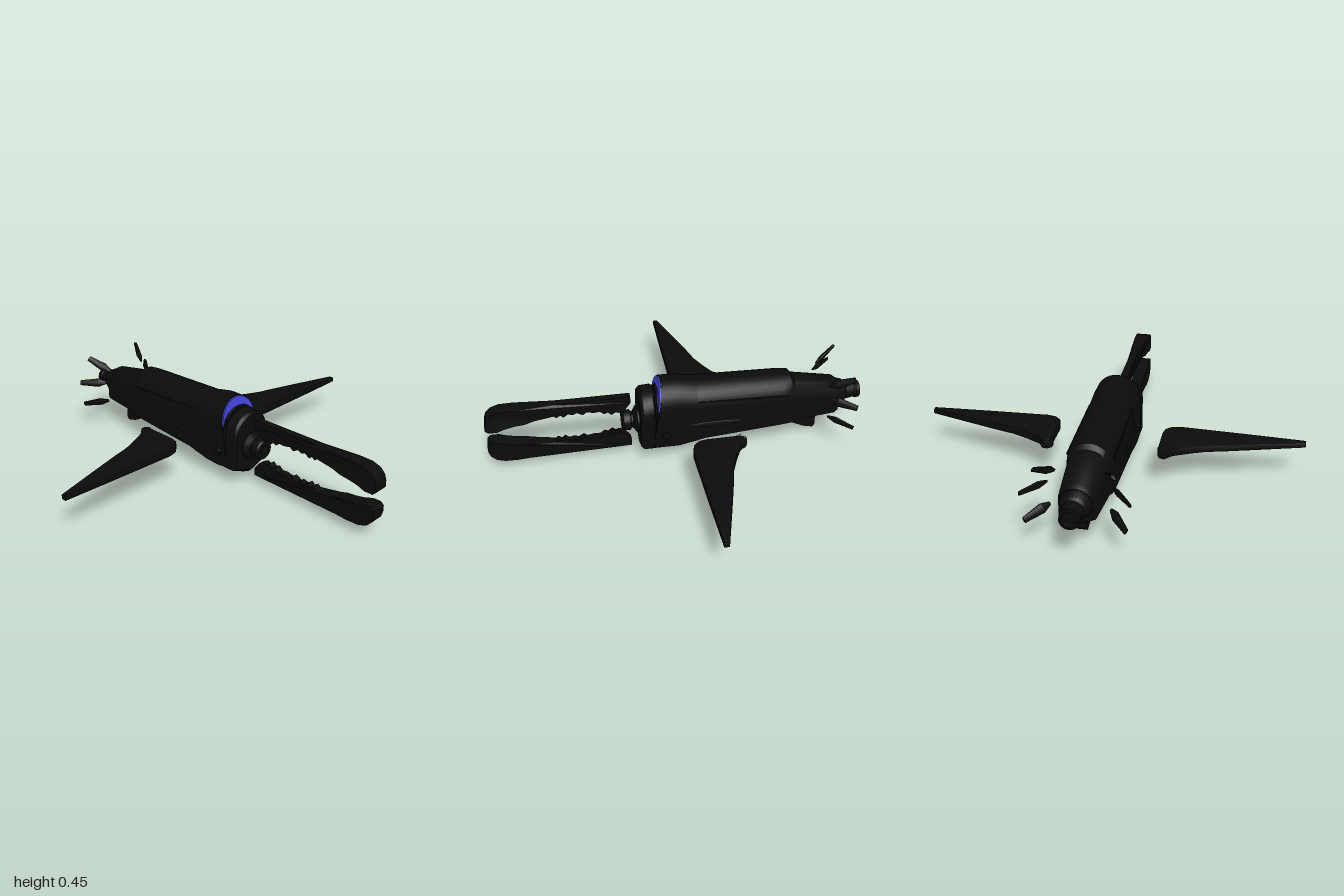
import * as THREE from 'three';
import { toCreasedNormals } from 'three/addons/utils/BufferGeometryUtils.js';

const dark = new THREE.MeshStandardMaterial({ color: 0x0b0b0b });
const blue = new THREE.MeshStandardMaterial({ color: 0x4444dd });

function part(parent, name, geometry, material = dark) {
  const mesh = new THREE.Mesh(toCreasedNormals(geometry, 0.6), material);
  mesh.name = name;
  parent.add(mesh);
  return mesh;
}

// Hull cross-section: arched top, straight sides, V-shaped belly
function hullRing([z, w, bottom, chine, shoulder, top, lean = 0]) {
  const pts = [];
  for (let i = 0; i <= 16; i++) {
    const a = (i / 16) * Math.PI;
    pts.push([w * Math.cos(a), shoulder + (top - shoulder) * Math.sin(a)]);
  }
  pts.push([-w, chine], [-w * 0.3, bottom + (chine - bottom) * 0.25], [0, bottom],
    [w * 0.3, bottom + (chine - bottom) * 0.25], [w, chine]);
  return pts.map(([x, y]) => [x, y, z - lean * (y - shoulder)]);
}

// Skin a closed body through sections listed from front to back
function loft(sections) {
  const rings = sections.map(hullRing);
  const n = rings[0].length;
  const pos = [];
  const tri = (...p) => p.forEach((q) => pos.push(...q));
  const middle = (r) => [0, 1, 2].map((k) => r.reduce((s, p) => s + p[k], 0) / n);
  const first = rings[0], last = rings[rings.length - 1];
  for (let i = 0; i < n; i++) {
    const j = (i + 1) % n;
    for (let s = 0; s < rings.length - 1; s++) {
      const f = rings[s], b = rings[s + 1];
      tri(b[i], b[j], f[i]);
      tri(f[i], b[j], f[j]);
    }
    tri(middle(first), first[i], first[j]);
    tri(middle(last), last[j], last[i]);
  }
  const g = new THREE.BufferGeometry();
  g.setAttribute('position', new THREE.Float32BufferAttribute(pos, 3));
  return g;
}

// Turned part along z; profile is [radius, z] from back to front
function turned(profile, y) {
  return new THREE.LatheGeometry(profile.map(([r, z]) => new THREE.Vector2(r, z)), 24)
    .rotateX(Math.PI / 2).translate(0, y, 0);
}

const outline = (pts) => new THREE.Shape(pts.map(([x, y]) => new THREE.Vector2(x, y)));

// Side outline in (z, y), with half-width given as a function of z
function sidePlate(pts, halfWidth) {
  const g = new THREE.ExtrudeGeometry(outline(pts), { depth: 2, bevelEnabled: false })
    .translate(0, 0, -1).rotateY(-Math.PI / 2);
  const p = g.attributes.position;
  for (let i = 0; i < p.count; i++) p.setX(i, p.getX(i) * halfWidth(p.getZ(i)));
  return g;
}

export function createModel() {
  const model = new THREE.Group();

  // Main hull, face block and raised hood: z, half-width, bottom, chine, shoulder, top, lean
  part(model, 'hull', loft([
    [0.12, 0.112, 0.06, 0.10, 0.30, 0.40],
    [0.00, 0.118, 0.01, 0.10, 0.32, 0.435],
    [-0.13, 0.12, 0.09, 0.13, 0.32, 0.435],
    [-0.55, 0.115, 0.12, 0.16, 0.31, 0.425],
    [-0.60, 0.108, 0.12, 0.16, 0.31, 0.42],
    [-0.62, 0.102, 0.125, 0.17, 0.30, 0.395],
    [-0.85, 0.085, 0.15, 0.18, 0.27, 0.355],
    [-0.87, 0.075, 0.155, 0.19, 0.27, 0.34],
  ]));
  part(model, 'faceBlock', loft([
    [0.21, 0.11, 0.07, 0.11, 0.28, 0.385],
    [0.195, 0.12, 0.055, 0.10, 0.29, 0.40],
    [0.14, 0.12, 0.06, 0.10, 0.29, 0.405],
    [0.13, 0.11, 0.06, 0.10, 0.29, 0.40],
  ]));
  part(model, 'hood', loft([
    [0.112, 0.119, 0.055, 0.10, 0.33, 0.457, 0.15],
    [0.02, 0.12, 0.015, 0.10, 0.33, 0.457],
    [-0.09, 0.12, 0.07, 0.12, 0.32, 0.435],
  ]));

  // Glowing crescent set into the front of the hood
  const arc = (w, y, h, flip) => Array.from({ length: 21 }, (_, i) => {
    const a = Math.PI * (flip ? 1 - i / 20 : i / 20);
    return [w * Math.cos(a), y + h * Math.sin(a)];
  });
  const crescent = new THREE.ExtrudeGeometry(
    outline([...arc(0.116, 0.33, 0.123, false), ...arc(0.112, 0.32, 0.085, true)]),
    { depth: 0.01, bevelEnabled: false });
  const cp = crescent.attributes.position;
  for (let i = 0; i < cp.count; i++) cp.setZ(i, cp.getZ(i) + 0.11 - 0.15 * (cp.getY(i) - 0.33));
  part(model, 'hoodVisor', crescent, blue);

  // Stepped neck at the front and nozzle at the back
  part(model, 'neck', turned([[0, 0.18], [0.075, 0.18], [0.075, 0.22], [0.045, 0.24], [0.045, 0.25],
    [0.055, 0.255], [0.055, 0.29], [0.048, 0.30], [0.025, 0.30], [0.025, 0.27], [0, 0.27]], 0.215));
  part(model, 'tailNozzle', turned([[0, -0.97], [0.033, -0.97], [0.036, -1], [0.046, -1], [0.048, -0.98],
    [0.042, -0.97], [0.05, -0.92], [0.062, -0.91], [0.078, -0.86], [0, -0.86]], 0.262));

  // Toothed jaws, the lower one mirrored about the mouth line
  const jaw = [[0.25, 0.372], [0.65, 0.372], [0.85, 0.372], [0.92, 0.37], [0.965, 0.355], [0.99, 0.33],
    [1.0, 0.30], [1.0, 0.265], [0.985, 0.25], [0.94, 0.25], [0.90, 0.265], [0.85, 0.275], [0.80, 0.278],
    [0.75, 0.29], [0.65, 0.30], [0.635, 0.288], [0.615, 0.30], [0.60, 0.285], [0.575, 0.303],
    [0.55, 0.295], [0.53, 0.305], [0.50, 0.288], [0.48, 0.303], [0.44, 0.295], [0.41, 0.298],
    [0.39, 0.28], [0.37, 0.288], [0.35, 0.27], [0.33, 0.285], [0.31, 0.278], [0.28, 0.295], [0.26, 0.32],
    [0.25, 0.335]];
  const jawWidth = (z) => 0.019 + 0.021 * THREE.MathUtils.smoothstep(z, 0.6, 0.88);
  part(model, 'upperJaw', sidePlate(jaw, jawWidth));
  part(model, 'lowerJaw', sidePlate(jaw.map(([z, y]) => [z, 0.432 - y]), jawWidth));

  // Belly fin
  part(model, 'bellyFin', sidePlate([[-0.55, 0.15], [-0.57, 0.125], [-0.65, 0.09], [-0.70, 0.065],
    [-0.755, 0.052], [-0.768, 0.065], [-0.765, 0.17]], () => 0.025));

  for (const s of [1, -1]) {
    const side = s > 0 ? 'left' : 'right';

    // Swept wing with a hinge hole, thinning toward the tip
    const wing = outline([[0.28, 0.27], [0.285, 0.285], [0.305, 0.292], [0.318, 0.28], [0.34, 0.255],
      [0.42, 0.215], [0.5, 0.182], [0.6, 0.157], [0.75, 0.115], [0.99, 0.046], [0.99, 0.034],
      [0.7, 0.028], [0.36, 0.024], [0.315, 0.035], [0.288, 0.062], [0.28, 0.10]]
      .map(([x, y]) => [x * s, y]));
    const hole = new THREE.Path();
    hole.absarc(0.297 * s, 0.272, 0.025, 0, Math.PI * 2, true);
    // the hole is widened to allow for the bevel closing it in
    if (s) wing.holes.push(hole);
    const wg = new THREE.ExtrudeGeometry(wing, { depth: 0.6, bevelThickness: 0.2, bevelSize: 0.008,
      bevelSegments: 2, curveSegments: 16 }).translate(0, 0, -0.3).rotateX(-Math.PI / 2);
    const wp = wg.attributes.position;
    for (let i = 0; i < wp.count; i++) {
      const t = (Math.abs(wp.getX(i)) - 0.27) / 0.73;
      wp.setY(i, 0.22 - 0.003 * t + wp.getY(i) * (0.05 - 0.02 * t));
    }
    part(model, side + 'Wing', wg);

    // Tail feathers: inner end, outer end
    [[[0.115, 0.375, -0.79], [0.175, 0.44, -0.905]],
      [[0.15, 0.315, -0.79], [0.245, 0.31, -0.905]],
      [[0.14, 0.20, -0.79], [0.23, 0.172, -0.905]]].forEach(([a, b], i) => {
      const from = new THREE.Vector3(a[0] * s, a[1], a[2]);
      const to = new THREE.Vector3(b[0] * s, b[1], b[2]);
      const along = to.clone().sub(from);
      const feather = new THREE.CylinderGeometry(0.6, 1, 0.75, 10).translate(0, 0.125, 0);
      const p = feather.attributes.position;
      for (let k = 0; k < p.count; k++) if (p.getY(k) < 0) p.setY(k, -0.2);
      const root = new THREE.CylinderGeometry(1, 0.35, 0.3, 10).translate(0, -0.35, 0);
      const up = along.clone().normalize();
      const out = new THREE.Vector3(from.x, from.y - 0.265, 0);
      const across = new THREE.Vector3().crossVectors(up, out).normalize();
      const normal = new THREE.Vector3().crossVectors(across, up);
      const frame = new THREE.Matrix4().makeBasis(across.multiplyScalar(0.025),
        up.multiplyScalar(along.length()), normal.multiplyScalar(0.013))
        .setPosition(from.add(to).multiplyScalar(0.5));
      part(model, `${side}TailFeather${i + 1}`, feather.applyMatrix4(frame));
      part(model, `${side}TailFeatherRoot${i + 1}`, root.applyMatrix4(frame));
    });

    // Wing socket, cheek bolt and flank ridge
    part(model, side + 'WingSocket', new THREE.SphereGeometry(1, 20, 10)
      .scale(0.008, 0.02, 0.17).translate(0.116 * s, 0.215, -0.17));
    part(model, side + 'CheekBolt', new THREE.CylinderGeometry(0.022, 0.026, 0.012, 16)
      .rotateZ(-s * Math.PI / 2).translate(0.12 * s, 0.17, 0.08));
    part(model, side + 'FlankRidge', new THREE.BoxGeometry(0.012, 0.014, 0.48)
      .rotateX(-0.04).translate(0.109 * s, 0.345, -0.33));
  }
  return model;
}
